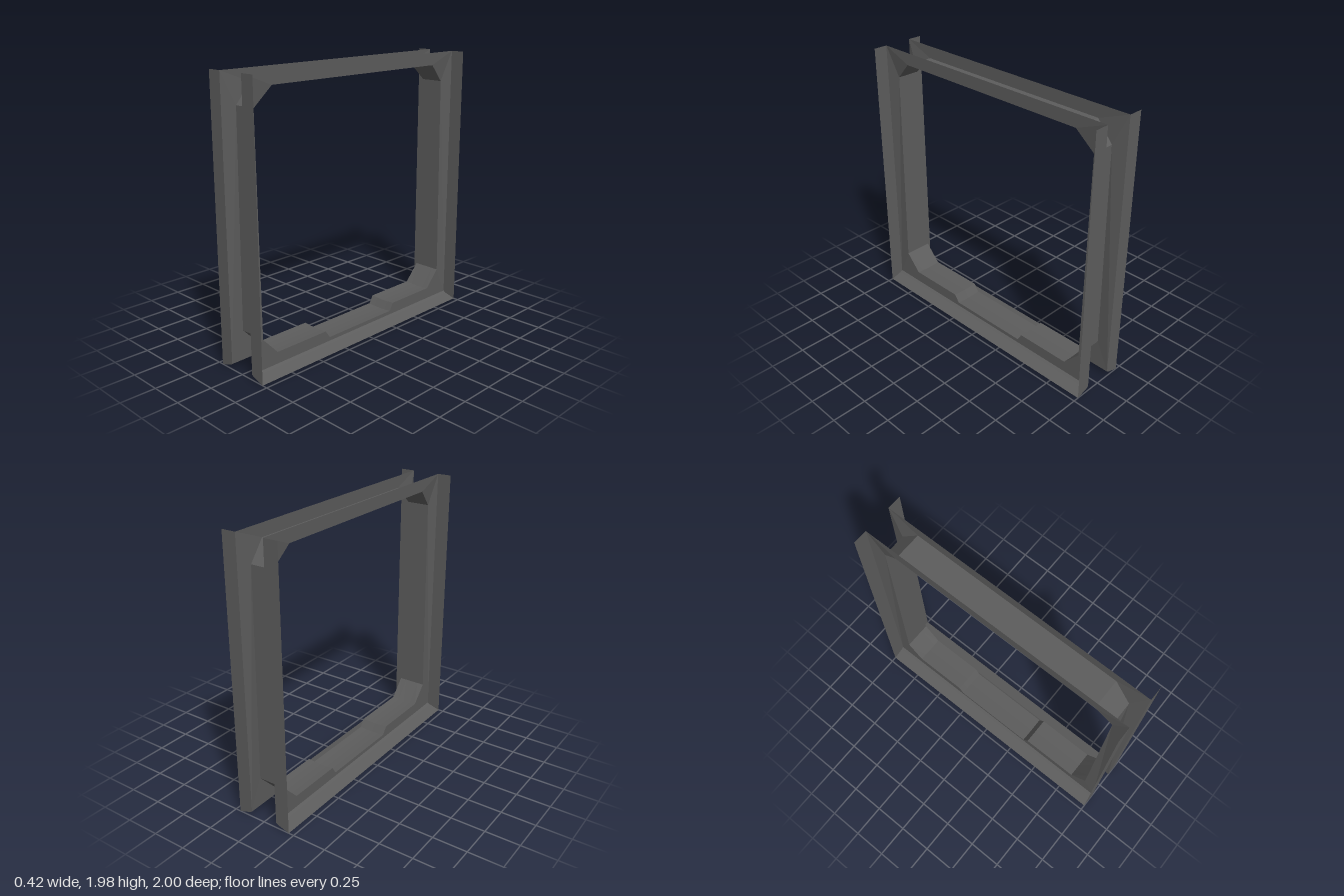
import * as THREE from 'three';

const TOP = 1.98;   // upper edge of the side plates
const WEB = 0.105;  // x of the plate's outer border
const LIP = 0.21;   // x of the flange tips

// Opening outline: [z, y, half width, sag across the middle]
const OPENING = [
  [0.77, 1.89, 0.105, 0], [-0.77, 1.89, 0.105, 0],
  [-0.9, 1.76, 0.085, 0], [-0.9, 0.25, 0.105, 0],
  [-0.78, 0.122, 0.105, 0.006], [-0.37, 0.122, 0.105, 0.006],
  [-0.335, 0.066, 0.105, 0.006], [0.3, 0.066, 0.105, 0.006],
  [0.34, 0.122, 0.105, 0.006], [0.78, 0.122, 0.105, 0.006],
  [0.9, 0.25, 0.105, 0], [0.9, 1.76, 0.085, 0],
];

// Flange foot profile: [x, y]
const FOOT = [[WEB, 0.038], [0.125, 0.026], [LIP, 0]];

// Faceted sheet joining consecutive rows of points
function sheet(rows) {
  const pos = [];
  for (let i = 0; i < rows.length - 1; i++) {
    for (let j = 0; j < rows[i].length - 1; j++) {
      const a = rows[i][j], b = rows[i + 1][j];
      const c = rows[i + 1][j + 1], d = rows[i][j + 1];
      pos.push(...a, ...b, ...c, ...a, ...c, ...d);
    }
  }
  const g = new THREE.BufferGeometry();
  g.setAttribute('position', new THREE.Float32BufferAttribute(pos, 3));
  g.computeVertexNormals();
  return g;
}

// Flat border with the opening cut out, its inner rim pulled in to the lining
function plateGeometry(side) {
  const shape = new THREE.Shape([[-1, 0.038], [1, 0.038], [1, TOP], [-1, TOP]]
    .map(([z, y]) => new THREE.Vector2(z, y)));
  shape.holes.push(new THREE.Path(OPENING.map(([z, y]) => new THREE.Vector2(z, y))));
  const g = new THREE.ShapeGeometry(shape).toNonIndexed();
  const p = g.attributes.position;
  for (let i = 0; i < p.count; i++) {
    const z = p.getX(i), y = p.getY(i);
    const rim = OPENING.find((o) => Math.abs(o[0] - z) < 1e-4 && Math.abs(o[1] - y) < 1e-4);
    p.setXYZ(i, side * (rim ? rim[2] : WEB), y, z);
  }
  g.computeVertexNormals();
  return g;
}

export function createModel() {
  const group = new THREE.Group();
  group.name = 'windowFrame';
  const metal = new THREE.MeshStandardMaterial({ color: 0x5c5c5c, side: THREE.DoubleSide, flatShading: true });
  metal.name = 'darkGreyMetal';

  function add(name, geometry) {
    const mesh = new THREE.Mesh(geometry, metal);
    mesh.name = name;
    group.add(mesh);
  }

  // Lining through the opening, slightly dished along the sill
  const loop = [...OPENING, OPENING[0]];
  add('openingLining', sheet(loop.map(([z, y, w, sag]) =>
    [-1, -0.5, 0, 0.5, 1].map((t) => [t * w, y - sag * (1 - t * t), z]))));

  for (const side of [-1, 1]) {
    const label = side > 0 ? 'left' : 'right';
    add(label + 'Plate', plateGeometry(side));

    // Upright flanges at both ends of the plate
    for (const z of [-1, 1]) {
      add(label + (z > 0 ? 'FrontFlange' : 'BackFlange'),
        sheet([FOOT.map(([x, y]) => [side * x, y, z]), FOOT.map(([x]) => [side * x, TOP, z])]));
    }

    // Sloping bottom flange
    add(label + 'BottomFlange',
      sheet([-1, 1].map((z) => FOOT.map(([x, y]) => [side * x, y, z]))));
  }
  return group;
}
